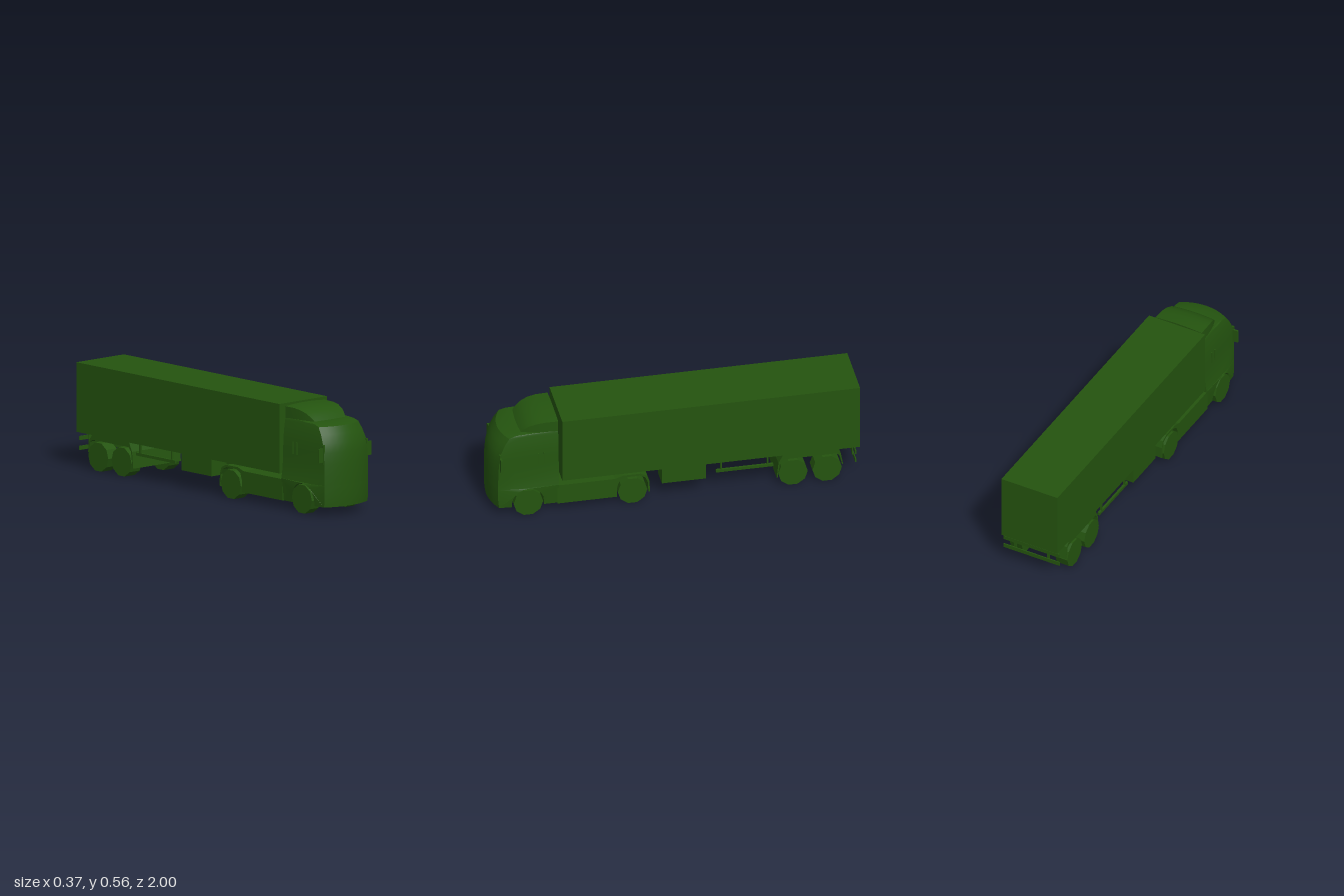
import * as THREE from 'three';
import { toCreasedNormals } from 'three/addons/utils/BufferGeometryUtils.js';

const paint = new THREE.MeshStandardMaterial({ color: 0x24540f, side: THREE.DoubleSide });

function add(parent, name, geometry, x = 0, y = 0, z = 0) {
  const mesh = new THREE.Mesh(geometry, paint);
  mesh.name = name;
  mesh.position.set(x, y, z);
  parent.add(mesh);
  return mesh;
}

// Box given by its lower and upper limits
function box(parent, name, x0, x1, y0, y1, z0, z1) {
  return add(parent, name, new THREE.BoxGeometry(x1 - x0, y1 - y0, z1 - z0),
    (x0 + x1) / 2, (y0 + y1) / 2, (z0 + z1) / 2);
}

// Side outline of [z, y] points, extruded across the width
function across(points, halfWidth, steps = 1) {
  const shape = new THREE.Shape(points.map(([z, y]) => new THREE.Vector2(z, y)));
  const geo = new THREE.ExtrudeGeometry(shape, { depth: 2 * halfWidth, steps, bevelEnabled: false });
  return geo.rotateY(-Math.PI / 2).translate(halfWidth, 0, 0);
}

// Closed skin over rings of equal length, with fan caps
function loft(rings, crease) {
  const n = rings[0].length, pos = rings.flat(2), index = [];
  for (let i = 0; i < rings.length - 1; i++) {
    for (let j = 0; j < n; j++) {
      const a = i * n + j, b = i * n + (j + 1) % n;
      index.push(a, b, b + n, a, b + n, a + n);
    }
  }
  const last = (rings.length - 1) * n;
  for (let j = 1; j < n - 1; j++) {
    index.push(0, j + 1, j, last, last + j, last + j + 1);
  }
  const geo = new THREE.BufferGeometry();
  geo.setAttribute('position', new THREE.Float32BufferAttribute(pos, 3));
  geo.setIndex(index);
  return toCreasedNormals(geo, crease);
}

// Points along a wheel arch, from rear to front
function arch(z, y, r, from, to, count = 10) {
  return Array.from({ length: count + 1 }, (_, i) => {
    const a = from + (to - from) * i / count;
    return [z + r * Math.cos(a), y + r * Math.sin(a)];
  });
}

function cab() {
  const group = new THREE.Group();
  group.name = 'cab';

  // Upper cab: plan sections with a bowed front, [y, side width, front width, front z]
  const levels = [
    [0.165, 0.171, 0.155, 1.0], [0.21, 0.163, 0.155, 1.0], [0.28, 0.158, 0.155, 0.998],
    [0.34, 0.157, 0.155, 0.993], [0.39, 0.155, 0.153, 0.983], [0.435, 0.15, 0.147, 0.962],
    [0.473, 0.144, 0.142, 0.937], [0.485, 0.142, 0.139, 0.9], [0.49, 0.14, 0.134, 0.85],
  ];
  const rings = levels.map(([y, w, f, z]) => {
    const mid = Math.min(0.87, z - 0.1), ring = [[-w, y, 0.632], [-w, y, mid]];
    for (let i = -4; i <= 4; i++) ring.push([f * i / 4, y, z - 0.04 * (i / 4) ** 2]);
    ring.push([w, y, mid], [w, y, 0.632]);
    return ring;
  });
  add(group, 'cabBody', loft(rings, 0.5));

  // Lower cab with wheel arches, flared at the sides and bowed at the front
  const lower = across([
    [0.885, 0.048], [0.995, 0.048], [1.0, 0.1], [1.0, 0.165], [0.632, 0.165], [0.632, 0.045], [0.712, 0.045],
    ...arch(0.8, 0.075, 0.086, Math.PI, 0),
  ], 1, 8);
  const p = lower.attributes.position;
  for (let i = 0; i < p.count; i++) {
    const x = p.getX(i), y = p.getY(i), z = p.getZ(i);
    const front = THREE.MathUtils.clamp((z - 0.89) / 0.105, 0, 1);
    const side = THREE.MathUtils.lerp(0.16, 0.172, THREE.MathUtils.clamp((y - 0.045) / 0.09, 0, 1));
    p.setX(i, x * THREE.MathUtils.lerp(side, 0.155, front));
    p.setZ(i, z - 0.04 * x * x * front);
  }
  add(group, 'lowerCab', toCreasedNormals(lower, 0.5));

  // Roof air deflector: sections from back to front, [z, half width, top]
  const crown = [[0.632, 0.141, 0.557], [0.7, 0.139, 0.556], [0.745, 0.134, 0.549],
    [0.785, 0.126, 0.534], [0.815, 0.116, 0.512], [0.838, 0.105, 0.487]];
  add(group, 'roofDeflector', loft(crown.map(([z, w, top]) => {
    const ring = [[-w, 0.475, z], [w, 0.475, z]];
    for (let i = 4; i >= -4; i--) ring.push([w * i / 4, top - 0.007 * (i / 4) ** 2, z]);
    return ring;
  }), 0.5));

  // Mirrors and grab rails on both sides
  for (const s of [-1, 1]) {
    box(group, 'mirror', s * 0.17 - 0.017, s * 0.17 + 0.017, 0.292, 0.367, 0.942, 0.952);
    box(group, 'mirrorArm', s * 0.154 - 0.006, s * 0.154 + 0.006, 0.28, 0.385, 0.944, 0.954);
    for (const z of [0.71, 0.742]) {
      box(group, 'grabRail', s * 0.157 - 0.006, s * 0.157 + 0.006, 0.305, 0.372, z - 0.003, z + 0.003);
    }
  }
  return group;
}

function trailer() {
  const group = new THREE.Group();
  group.name = 'trailer';
  box(group, 'cargoBox', -0.17, 0.17, 0.187, 0.563, -1, 0.615);

  // Fender sheet over both axles
  add(group, 'trailerFender', across([
    [-0.555, 0.187], [-0.9, 0.187], [-0.875, 0.187], [-0.895, 0.16], [-0.908, 0.09], [-0.902, 0.09], [-0.888, 0.15],
    [-0.87, 0.162], [-0.585, 0.162], [-0.565, 0.14], [-0.553, 0.05], [-0.547, 0.05], [-0.557, 0.14], [-0.58, 0.187],
  ].slice(2), 0.17));

  for (const s of [-1, 1]) {
    // Side lockers
    box(group, 'locker', s * 0.115 - 0.053, s * 0.115 + 0.053, 0.096, 0.187, -0.165, 0.075);
    // Side guard rails and posts
    const x = s * 0.16;
    box(group, 'guardRail', x - 0.006, x + 0.006, 0.124, 0.14, -0.53, -0.22);
    for (const z of [-0.248, -0.5]) {
      box(group, 'guardPost', x - 0.005, x + 0.005, 0.13, 0.187, z - 0.005, z + 0.005);
    }
    box(group, 'bumperPost', s * 0.1 - 0.008, s * 0.1 + 0.008, 0.1, 0.187, -0.974, -0.968);
  }
  // Rear underrun bars
  box(group, 'rearBar', -0.17, 0.17, 0.145, 0.167, -0.979, -0.973);
  box(group, 'rearBar', -0.17, 0.17, 0.092, 0.114, -0.979, -0.973);
  return group;
}

export function createModel() {
  const truck = new THREE.Group();
  truck.name = 'truck';
  truck.add(cab(), trailer());

  // Tractor chassis with side skirts and the rear wheel fender
  add(truck, 'tractorChassis', across([
    [0.64, 0.045], [0.64, 0.16], [0.33, 0.16], [0.285, 0.175], [0.19, 0.175], [0.155, 0.158], [0.142, 0.12],
    [0.14, 0.055], [0.148, 0.055], [0.152, 0.12], [0.165, 0.148], [0.195, 0.163], [0.275, 0.163],
    [0.305, 0.145], [0.317, 0.11], [0.32, 0.045],
  ], 0.17));

  // Wheels: [z, inner x]
  const outer = 0.175;
  for (const [z, inner] of [[0.8, 0.115], [0.235, 0.103], [-0.635, 0.103], [-0.82, 0.103]]) {
    for (const s of [-1, 1]) {
      const tyre = new THREE.CylinderGeometry(0.08, 0.08, outer - inner, 10).toNonIndexed();
      tyre.computeVertexNormals();
      add(truck, 'wheel', tyre.rotateZ(Math.PI / 2), s * (inner + outer) / 2, 0.0761, z);
    }
  }
  return truck;
}
